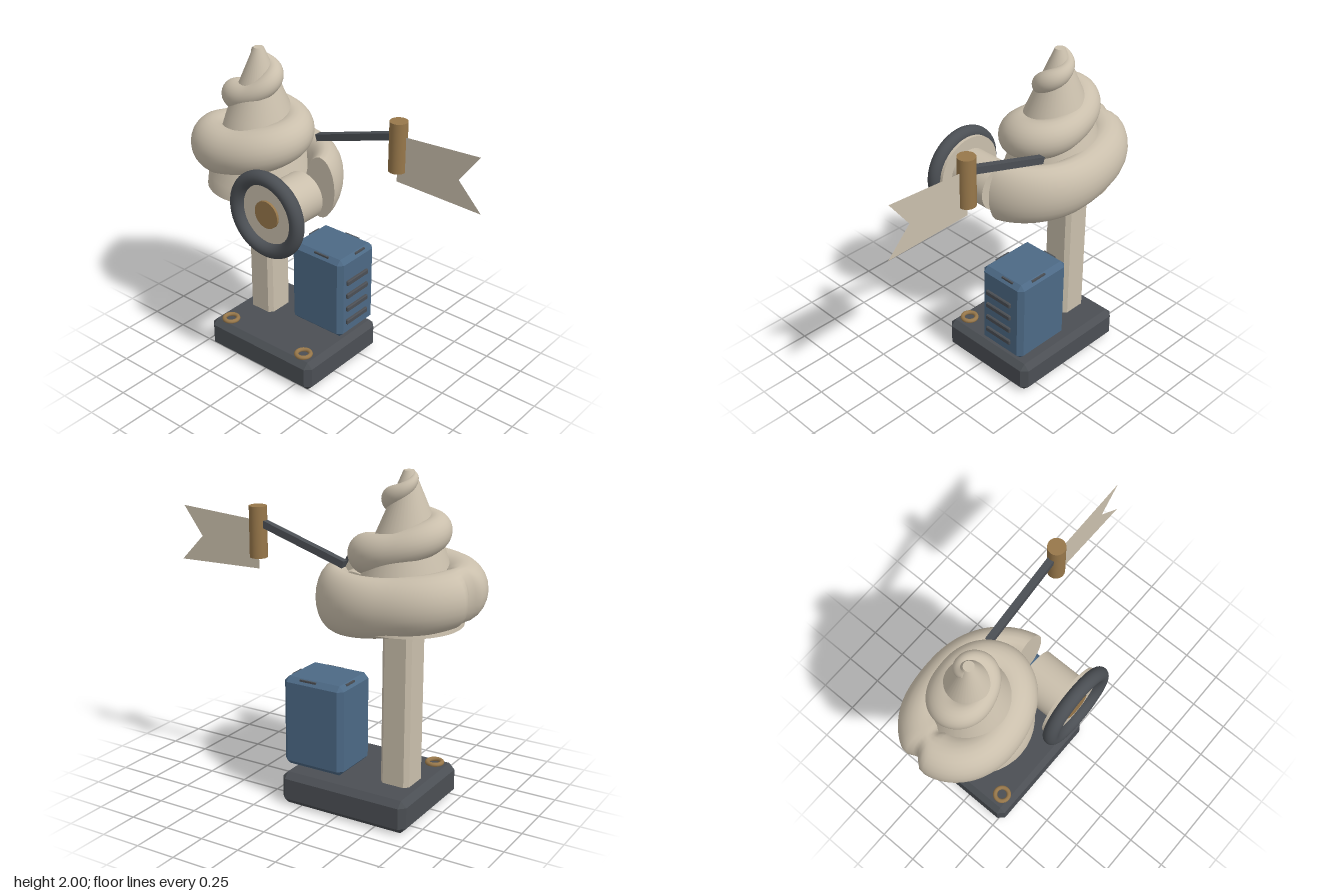
import * as THREE from 'three';
import { ConvexGeometry } from 'three/addons/geometries/ConvexGeometry.js';

const mat = (name, color, side = THREE.FrontSide) => {
  const m = new THREE.MeshStandardMaterial({ color, side });
  m.name = name;
  return m;
};

// Box with all edges cut at 45 degrees
function chamferBox(w, h, d, c) {
  const pts = [];
  for (const x of [-1, 1]) for (const y of [-1, 1]) for (const z of [-1, 1]) {
    const a = w / 2, b = h / 2, e = d / 2;
    pts.push(
      new THREE.Vector3(x * a, y * (b - c), z * (e - c)),
      new THREE.Vector3(x * (a - c), y * b, z * (e - c)),
      new THREE.Vector3(x * (a - c), y * (b - c), z * e));
  }
  return new ConvexGeometry(pts);
}

// Tapering spiral tube; stations are [radius, height, half width, half height] per quarter turn
function coilGeometry(stations, cx, cz) {
  const path = new THREE.CatmullRomCurve3(stations.map(s => new THREE.Vector3(s[0], s[1], 0)), false, 'catmullrom');
  const size = new THREE.CatmullRomCurve3(stations.map(s => new THREE.Vector3(s[2], s[3], 0)), false, 'catmullrom');
  const quarters = stations.length - 1, rings = quarters * 24, sides = 24;
  const pos = [], idx = [];
  const put = (r, y, a) => pos.push(cx + r * Math.cos(a), y, cz - r * Math.sin(a));
  for (let i = 0; i <= rings; i++) {
    const t = i / rings, a = t * quarters * Math.PI / 2;
    const p = path.getPoint(t), s = size.getPoint(t);
    // Pinch where the lowest turn folds into the next one
    const pinch = 1 - 0.4 * Math.exp(-(((a - 3.0) / 0.1) ** 2));
    for (let j = 0; j < sides; j++) {
      const b = j / sides * Math.PI * 2;
      put(p.x + s.x * Math.cos(b) * pinch, p.y + s.y * Math.sin(b), a);
    }
  }
  for (let i = 0; i < rings; i++) for (let j = 0; j < sides; j++) {
    const k = (j + 1) % sides;
    const a = i * sides + j, b = i * sides + k, c = a + sides, d = b + sides;
    idx.push(a, c, b, b, c, d);
  }
  // Flat end caps with their own vertices
  for (const end of [0, rings]) {
    const base = pos.length / 3;
    for (let j = 0; j < sides; j++) {
      const o = (end * sides + j) * 3;
      pos.push(pos[o], pos[o + 1], pos[o + 2]);
    }
    for (let j = 1; j < sides - 1; j++) {
      idx.push(base, end ? base + j + 1 : base + j, end ? base + j : base + j + 1);
    }
  }
  // Make the winding face outwards whichever way the spiral runs
  let volume = 0;
  const v = i => new THREE.Vector3().fromArray(pos, i * 3);
  for (let i = 0; i < rings * sides * 6; i += 3) {
    volume += v(idx[i]).dot(v(idx[i + 1]).cross(v(idx[i + 2])));
  }
  if (volume < 0) for (let i = 0; i < rings * sides * 6; i += 3) {
    [idx[i], idx[i + 1]] = [idx[i + 1], idx[i]];
  }
  const g = new THREE.BufferGeometry();
  g.setAttribute('position', new THREE.Float32BufferAttribute(pos, 3));
  g.setIndex(idx);
  g.computeVertexNormals();
  return g;
}

export function createModel() {
  const model = new THREE.Group();
  const cream = mat('cream', 0xcabfac);
  const creamSheet = mat('creamSheet', 0xcabfac, THREE.DoubleSide);
  const steel = mat('darkSteel', 0x4b4f54);
  const blue = mat('blue', 0x4c6985);
  const brass = mat('brass', 0x97774a);

  const add = (name, geo, material, x = 0, y = 0, z = 0) => {
    const m = new THREE.Mesh(geo, material);
    m.name = name;
    m.position.set(x, y, z);
    model.add(m);
    return m;
  };

  // Base, bolt rings and post
  add('base', chamferBox(0.83, 0.2, 0.68, 0.036), steel, -0.285, 0.1, -0.055);
  for (const x of [-0.59, 0.02]) {
    add('boltRing', new THREE.TorusGeometry(0.044, 0.014, 10, 28), brass, x, 0.207, 0.2).rotation.x = Math.PI / 2;
  }
  add('post', chamferBox(0.185, 1.1, 0.195, 0.025), cream, -0.528, 0.7, -0.108);

  // Floating cabinet with side vents and small inset tabs along its top edges
  add('cabinet', chamferBox(0.4, 0.55, 0.335, 0.03), blue, -0.07, 0.515, -0.188);
  for (let i = 0; i < 4; i++) {
    add('vent', chamferBox(0.03, 0.034, 0.2, 0.005), steel, 0.13, 0.345 + i * 0.0933, -0.175);
  }
  add('topTabLong', new THREE.BoxGeometry(0.372, 0.02, 0.09), steel, -0.07, 0.775, -0.225);
  add('topTabWide', new THREE.BoxGeometry(0.11, 0.02, 0.307), steel, -0.035, 0.775, -0.188);

  // Swirled shell: inner cone wrapped by a rising coil
  const cone = [[0, 1.14], [0.33, 1.14], [0.33, 1.14], [0.32, 1.22], [0.2, 1.6], [0.03, 2], [0.03, 2], [0, 2]];
  add('shellCore', new THREE.LatheGeometry(cone.map(p => new THREE.Vector2(...p)), 40), cream, -0.5, 0, -0.03);
  const stations = [
    [0.46, 1.24, 0.11, 0.195], [0.25, 1.28, 0.135, 0.17], [0.33, 1.35, 0.14, 0.16], [0.2, 1.4, 0.14, 0.15],
    [0.24, 1.5, 0.12, 0.125], [0.13, 1.575, 0.11, 0.11], [0.17, 1.67, 0.09, 0.095], [0.08, 1.725, 0.08, 0.08],
    [0.09, 1.82, 0.07, 0.075], [0.055, 1.89, 0.05, 0.055], [0.03, 1.96, 0.03, 0.035],
  ];
  add('shellCoil', coilGeometry(stations, -0.5, -0.03), cream);

  // Forward barrel ending in a ringed disc
  const disc = (name, r, z0, z1, material) =>
    add(name, new THREE.CylinderGeometry(r, r, z1 - z0, 40), material, -0.1, 1.207, (z0 + z1) / 2).rotation.x = Math.PI / 2;
  disc('barrel', 0.147, 0.05, 0.315, cream);
  disc('barrelFlange', 0.225, 0.305, 0.36, cream);
  disc('barrelHub', 0.085, 0.355, 0.375, brass);
  add('barrelRing', new THREE.TorusGeometry(0.2265, 0.0435, 20, 56), steel, -0.1, 1.207, 0.368);

  // Rod, brass holder and swallow-tailed flag
  const z = -0.193, from = new THREE.Vector2(-0.19, 1.465), to = new THREE.Vector2(0.37, 1.64);
  const run = to.clone().sub(from);
  add('rod', new THREE.BoxGeometry(run.length(), 0.042, 0.042), steel,
    (from.x + to.x) / 2, (from.y + to.y) / 2, z).rotation.z = run.angle();
  add('flagHolder', new THREE.CylinderGeometry(0.053, 0.053, 0.305, 32), brass, 0.394, 1.583, z);
  const flag = [[0.392, 1.36], [0.96, 1.345], [0.805, 1.505], [0.935, 1.68], [0.392, 1.647]];
  add('flag', new THREE.ShapeGeometry(new THREE.Shape(flag.map(p => new THREE.Vector2(...p)))), creamSheet, 0, 0, z);

  return model;
}
